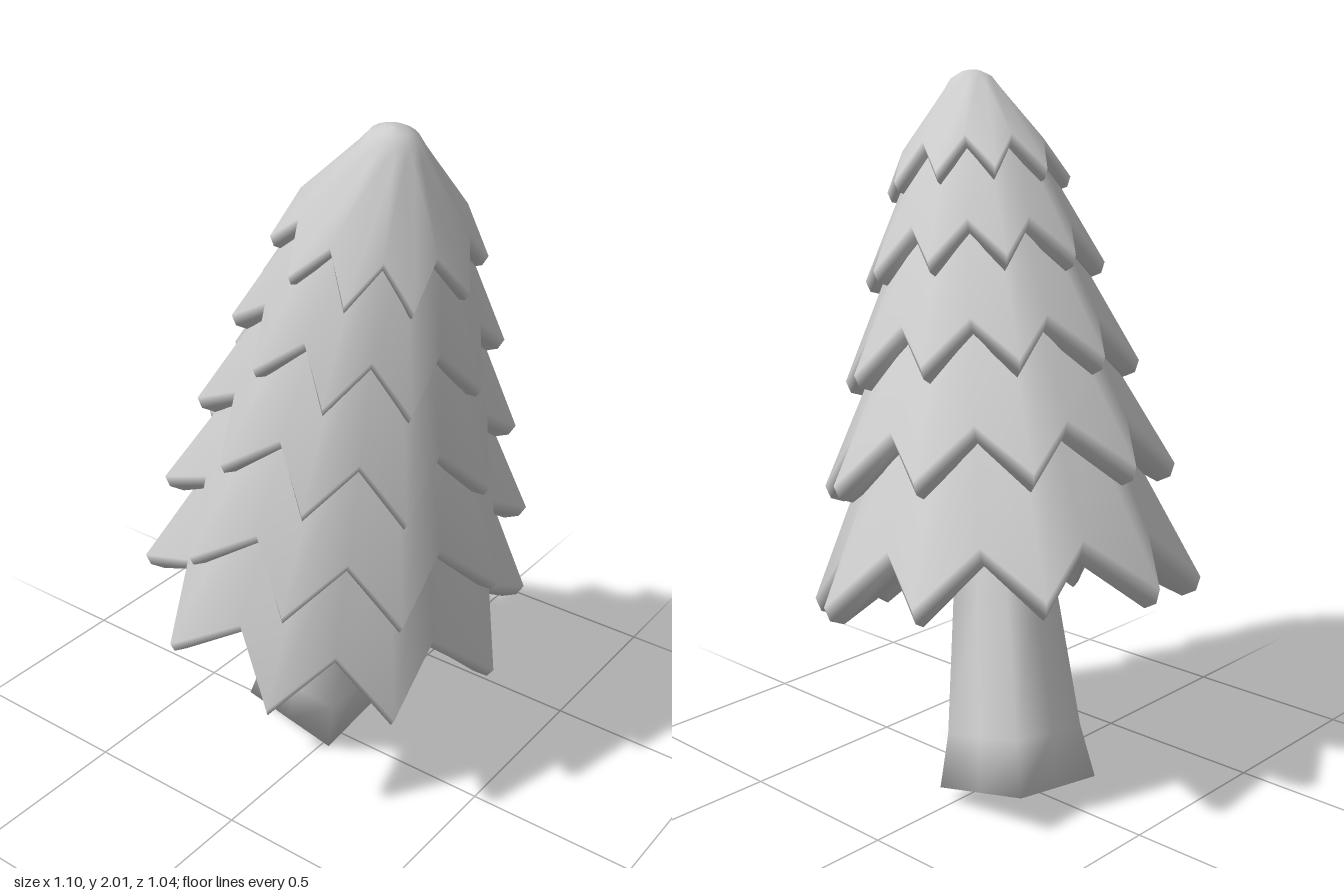
import * as THREE from 'three';
import { mergeGeometries } from 'three/addons/utils/BufferGeometryUtils.js';

const TEETH = 10;
const SIDES = TEETH * 2;

// Ring of points around the trunk axis; fn(i) gives [radius, height] at step i
function ring(n, fn) {
  return Array.from({ length: n }, (_, i) => {
    const a = (i / n) * Math.PI * 2;
    const [r, y] = fn(i);
    return [r * Math.cos(a), y, -r * Math.sin(a)];
  });
}

// Smooth skin over a stack of rings
function loft(rings) {
  const n = rings[0].length;
  const index = [];
  for (let k = 0; k < rings.length - 1; k++) {
    for (let i = 0; i < n; i++) {
      const j = (i + 1) % n;
      const a = k * n + i, b = k * n + j, c = a + n, d = b + n;
      index.push(a, b, d, a, d, c);
    }
  }
  const g = new THREE.BufferGeometry();
  g.setAttribute('position', new THREE.Float32BufferAttribute(rings.flat(2), 3));
  g.setIndex(index);
  g.computeVertexNormals();
  return g;
}

const round = (r, y) => ring(SIDES, () => [r, y]);

// Tier of branches: toothed skirt with a thick rolled rim and a hollow underside
function tierGeometry(r, y, upper) {
  const s = r / 0.55;
  const drop = 0.065 + 0.075 * s;
  const rim = 0.025 + 0.025 * s;
  const edge = (inset, lower) =>
    ring(SIDES, i => (i % 2 ? [r * 0.8 - inset, y + drop - lower] : [r - inset, y - lower]));
  const inner = edge(rim * 1.1, rim);
  const outside = loft([inner, edge(rim * 0.3, rim * 0.75), edge(0, 0), ...upper]);
  const underside = loft([round(0.06, y + 0.2), inner]);
  return mergeGeometries([outside, underside]);
}

export function createModel() {
  const model = new THREE.Group();
  const grey = new THREE.MeshStandardMaterial({ color: 0xcccccc });
  grey.name = 'lightGrey';

  // Everything is built upright, then leaned over
  const tree = new THREE.Group();
  tree.name = 'leaningTree';
  tree.position.set(-0.13, 0.035, -0.08);
  tree.quaternion.setFromUnitVectors(
    new THREE.Vector3(0, 1, 0),
    new THREE.Vector3(0.235, 1, 0.153).normalize()
  );
  model.add(tree);

  const add = (name, geometry) => {
    const mesh = new THREE.Mesh(geometry, grey);
    mesh.name = name;
    tree.add(mesh);
  };

  // Trunk: square foot that softens and narrows upward
  const square = (half, y, corner) => ring(8, i => [half * (i % 2 ? corner : 1), y]);
  add('trunk', loft([
    square(0.0001, 0.021, 1),
    square(0.155, 0.021, 1.41),
    square(0.145, 0.17, 1.29),
    square(0.114, 0.55, 1.29),
    square(0.1, 0.8, 1.25),
  ]));

  // Branch tiers from bottom to top: [tip radius, tip height]
  const tiers = [[0.55, 0.57], [0.5, 0.89], [0.42, 1.185], [0.343, 1.467], [0.263, 1.715]];
  // Upper end of each lower tier, tucked inside the tier above: [radius, height]
  const tucks = [[0.325, 1.06], [0.27, 1.34], [0.215, 1.61], [0.165, 1.825]];
  tiers.forEach(([r, y], k) => {
    const tuck = tucks[k];
    const upper = tuck
      ? [round(...tuck)]
      : [round(0.082, 1.985), round(0.06, 2.018), round(0.03, 2.036), round(0.0001, 2.04)];
    add(tuck ? `branchTier${k + 1}` : 'treeTop', tierGeometry(r, y, upper));
  });

  return model;
}
